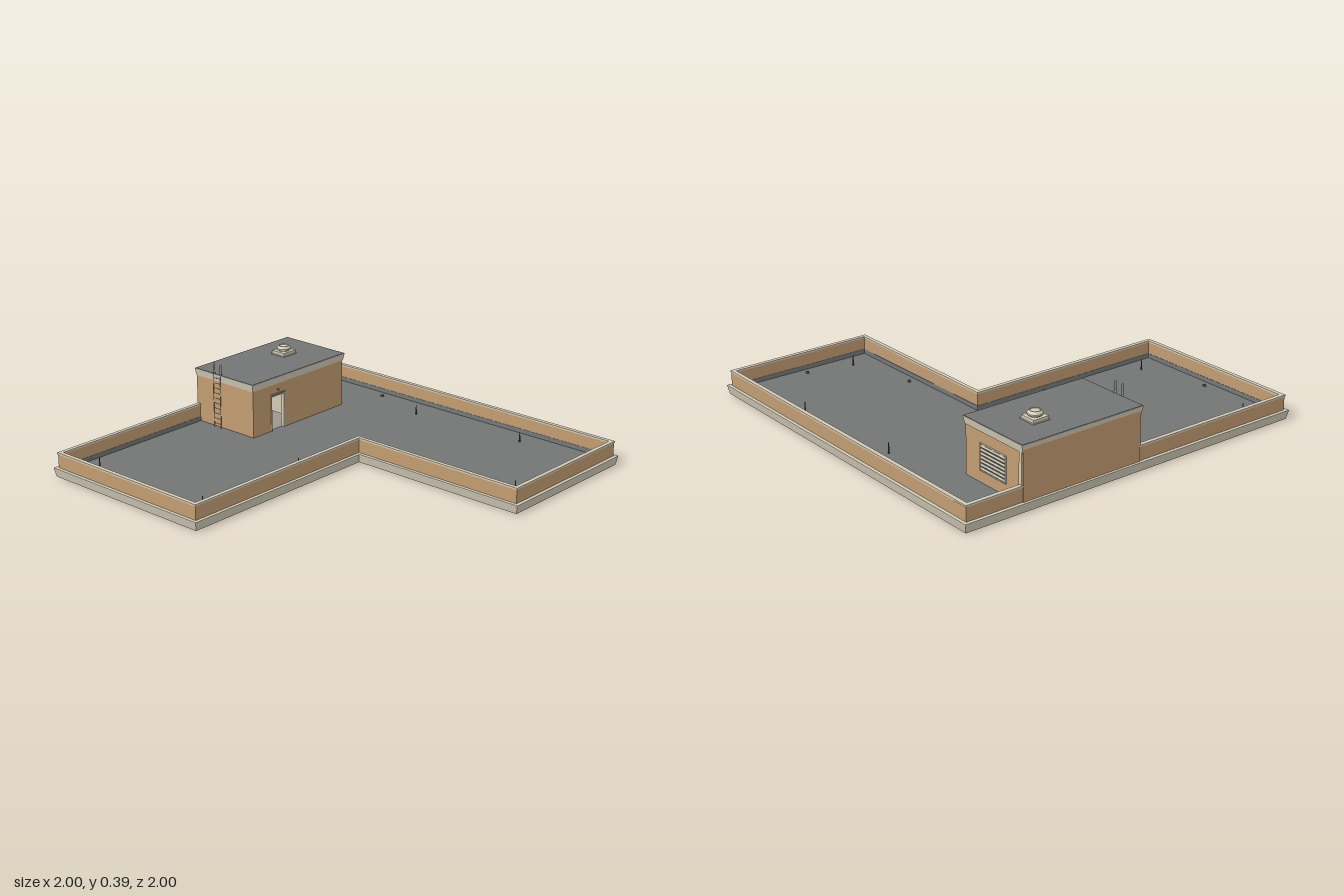
import * as THREE from 'three';

const mat = (name, color) => {
  const m = new THREE.MeshStandardMaterial({ color });
  m.name = name;
  return m;
};

// L-shaped and hut outlines, inset by o, as [x, z] corners
const roofOutline = (o) => [
  [-1 + o, -1 + o], [1 - o, -1 + o], [1 - o, 1 - o],
  [0.145 + o, 1 - o], [0.145 + o, 0.012 - o], [-1 + o, 0.012 - o],
];
const hutOutline = (o) => [
  [-0.03 + o, -0.99 + o], [0.681 - o, -0.99 + o], [0.681 - o, -0.565 - o], [-0.03 + o, -0.565 - o],
];

// Closed [inset, y] profile swept round an outline with mitred corners
function sweep(outline, profile) {
  const pos = [];
  profile.forEach(([oa, ya], k) => {
    const [ob, yb] = profile[(k + 1) % profile.length];
    const a = outline(oa), b = outline(ob);
    a.forEach((_, i) => {
      const j = (i + 1) % a.length;
      const ai = [a[i][0], ya, a[i][1]], aj = [a[j][0], ya, a[j][1]];
      const bi = [b[i][0], yb, b[i][1]], bj = [b[j][0], yb, b[j][1]];
      pos.push(...ai, ...bi, ...bj, ...ai, ...bj, ...aj);
    });
  });
  const g = new THREE.BufferGeometry();
  g.setAttribute('position', new THREE.Float32BufferAttribute(pos, 3));
  g.computeVertexNormals();
  return g;
}

export function createModel() {
  const brick = mat('tan wall', 0xc29c72);
  const stone = mat('pale stone', 0xd2cab6);
  const felt = mat('grey roofing', 0x727574);
  const metal = mat('dark metal', 0x4a4c4c);
  const steel = mat('ladder steel', 0x85888a);
  const model = new THREE.Group();
  model.name = 'flatRoof';

  const add = (name, geometry, material, parent = model) => {
    const mesh = new THREE.Mesh(geometry, material);
    mesh.name = name;
    parent.add(mesh);
    return mesh;
  };
  const box = (name, x0, x1, y0, y1, z0, z1, material, parent) => {
    const m = add(name, new THREE.BoxGeometry(x1 - x0, y1 - y0, z1 - z0), material, parent);
    m.position.set((x0 + x1) / 2, (y0 + y1) / 2, (z0 + z1) / 2);
    return m;
  };
  const group = (name) => {
    const g = new THREE.Group();
    g.name = name;
    model.add(g);
    return g;
  };

  // Thin deck with the stairwell opening
  const shape = new THREE.Shape(roofOutline(0.025).map(([x, z]) => new THREE.Vector2(x, -z)));
  shape.holes.push(new THREE.Path(
    [[-0.004, 0.962], [-0.004, 0.588], [0.654, 0.588], [0.654, 0.962]].map(([x, y]) => new THREE.Vector2(x, y))));
  const deck = new THREE.ExtrudeGeometry(shape, { depth: 0.006, bevelEnabled: false });
  deck.rotateX(-Math.PI / 2);
  add('deck', deck, felt).position.y = 0.026;

  // Cornice, parapet, coping and flashing
  add('cornice', sweep(roofOutline,
    [[0.009, 0], [0, 0.043], [0, 0.047], [0.026, 0.047], [0.026, 0]]), stone);
  add('parapet', sweep(roofOutline, [[0.018, 0.045], [0.018, 0.12], [0.033, 0.12], [0.033, 0.028]]), brick);
  add('coping', sweep(roofOutline, [[0.015, 0.119], [0.015, 0.128], [0.037, 0.128], [0.037, 0.119]]), stone);
  add('flashing', sweep(roofOutline, [[0.032, 0.028], [0.032, 0.055], [0.0345, 0.055], [0.0365, 0.03]]), felt);

  // Stair hut: tan outside, pale inside
  const hut = group('stairHut');
  const wall = (name, x0, x1, y0, y1, z0, z1, inner) => {
    const mats = Array(6).fill(brick);
    inner.forEach((i) => { mats[i] = stone; });
    return box(name, x0, x1, y0, y1, z0, z1, mats, hut);
  };
  wall('backWall', -0.02, 0.67, 0.046, 0.3, -0.9865, -0.961, [4]);
  wall('leftWall', 0.654, 0.67, 0.03, 0.3, -0.962, -0.572, [1]);
  wall('rightWall', -0.02, -0.004, 0.03, 0.3, -0.962, -0.572, [0]);
  wall('frontWall', -0.004, 0.115, 0.03, 0.3, -0.588, -0.572, [0, 5]);
  wall('frontWall', 0.21, 0.654, 0.03, 0.3, -0.588, -0.572, [1, 5]);
  wall('lintel', 0.115, 0.21, 0.222, 0.3, -0.588, -0.572, [3, 5]);
  box('partition', 0.35, 0.366, 0.027, 0.3, -0.962, -0.588, stone, hut);
  box('cornerTrim', 0.668, 0.674, 0.128, 0.286, -0.977, -0.958, stone, hut);
  add('hutCornice', sweep(hutOutline,
    [[0.006, 0.285], [0, 0.32], [0, 0.324], [0.03, 0.324], [0.03, 0.285]]), stone, hut);
  box('ceiling', -0.01, 0.66, 0.295, 0.3, -0.97, -0.58, stone, hut);
  box('hutRoof', -0.028, 0.679, 0.319, 0.326, -0.988, -0.567, felt, hut);

  // Door frame, hood and lamp
  const door = group('doorway');
  for (const x of [0.112, 0.207]) box('doorJamb', x, x + 0.006, 0.032, 0.226, -0.59, -0.569, stone, door);
  box('doorHead', 0.112, 0.213, 0.22, 0.226, -0.59, -0.569, stone, door);
  box('doorHood', 0.109, 0.216, 0.23, 0.234, -0.573, -0.566, brick, door);
  box('lampArm', 0.159, 0.165, 0.253, 0.257, -0.573, -0.562, metal, door);
  const lamp = add('lampShade', new THREE.CylinderGeometry(0.003, 0.006, 0.008, 10), stone, door);
  lamp.position.set(0.162, 0.254, -0.562);

  // Louvred grille with slats tipped up
  const grille = group('louvre');
  box('grilleBack', 0.668, 0.672, 0.095, 0.227, -0.865, -0.685, metal, grille);
  for (let i = 0; i < 7; i++) {
    const y = 0.106 + i * 0.0185;
    box('slat', 0.67, 0.677, y - 0.0055, y + 0.0055, -0.862, -0.688, stone, grille).rotation.z = 0.25;
  }
  for (const z of [-0.867, -0.687]) box('grilleSide', 0.669, 0.678, 0.093, 0.229, z, z + 0.004, stone, grille);
  for (const y of [0.093, 0.226]) box('grilleEdge', 0.669, 0.678, y, y + 0.003, -0.867, -0.683, stone, grille);

  // Ladder with hooked rails
  const ladder = group('ladder');
  for (const z of [-0.845, -0.795]) {
    const path = new THREE.CurvePath();
    const pts = [[-0.036, 0.032], [-0.036, 0.385], [-0.023, 0.385], [-0.023, 0.324]]
      .map(([x, y]) => new THREE.Vector3(x, y, z));
    for (let i = 0; i < 3; i++) path.add(new THREE.LineCurve3(pts[i], pts[i + 1]));
    add('ladderRail', new THREE.TubeGeometry(path, 80, 0.0012, 6), steel, ladder);
  }
  for (let i = 0; i < 10; i++) {
    const rung = add('rung', new THREE.CylinderGeometry(0.001, 0.001, 0.05, 6), steel, ladder);
    rung.rotation.x = Math.PI / 2;
    rung.position.set(-0.036, 0.055 + i * 0.028, -0.82);
  }

  // Ventilator on the hut
  const vent = group('ventilator');
  box('ventBase', 0.407, 0.505, 0.324, 0.33, -0.851, -0.755, stone, vent);
  box('ventCurb', 0.411, 0.501, 0.33, 0.346, -0.847, -0.759, stone, vent);
  const profile = [[0.03, 0.344], [0.03, 0.351], [0.038, 0.353], [0.038, 0.36], [0.028, 0.373], [0.024, 0.373], [0.023, 0.37], [0, 0.371]]
    .map(([r, y]) => new THREE.Vector2(r, y));
  const cap = new THREE.LatheGeometry(profile, 20).toNonIndexed();
  cap.computeVertexNormals();
  add('ventCap', cap, stone, vent).position.set(0.456, 0, -0.803);

  // Roof drains
  const drains = group('drains');
  for (const [x, z] of [[-0.92, -0.492], [0.915, -0.492], [-0.33, -0.067], [0.227, 0.49], [0.572, 0.915]]) {
    const d = add('drain', new THREE.CylinderGeometry(0.006, 0.01, 0.01, 8), metal, drains);
    d.position.set(x, 0.036, z);
  }

  // Slim tapered vent pipes
  const pipes = group('pipes');
  for (const [x, z] of [[-0.82, -0.862], [-0.82, -0.127], [-0.167, -0.117], [0.815, -0.167], [0.325, 0.857], [0.857, 0.49]]) {
    const p = add('pipe', new THREE.CylinderGeometry(0.002, 0.0045, 0.055, 8), metal, pipes);
    p.position.set(x, 0.058, z);
  }
  return model;
}
